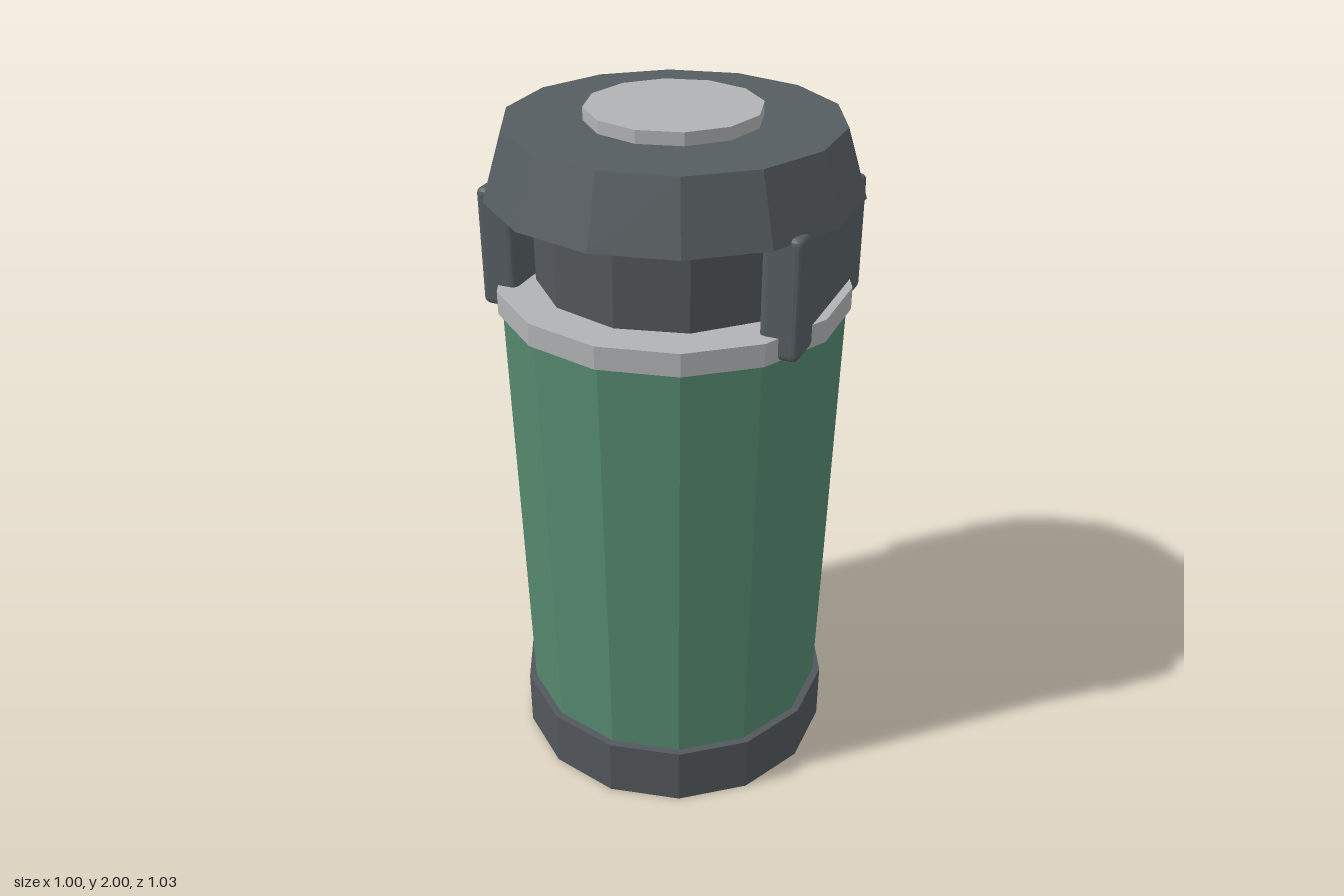
import * as THREE from 'three';
import { RoundedBoxGeometry } from 'three/addons/geometries/RoundedBoxGeometry.js';

function paint(name, color) {
  const m = new THREE.MeshStandardMaterial({ color, flatShading: true });
  m.name = name;
  return m;
}

export function createModel() {
  const group = new THREE.Group();
  group.name = 'litterBin';

  const green = paint('green', 0x55896f);
  const slate = paint('slateGrey', 0x565d61);
  const charcoal = paint('charcoal', 0x53575b);
  const metal = paint('lightMetal', 0xb0b2b4);

  const add = (name, geometry, material, x, y, z) => {
    const mesh = new THREE.Mesh(geometry, material);
    mesh.name = name;
    mesh.position.set(x, y, z);
    group.add(mesh);
  };

  // Faceted drum between two heights
  const drum = (name, rBottom, rTop, y0, y1, sides, material) =>
    add(name, new THREE.CylinderGeometry(rTop, rBottom, y1 - y0, sides), material, 0, (y0 + y1) / 2, 0);

  drum('base', 0.477, 0.477, 0, 0.18, 14, charcoal);
  drum('body', 0.455, 0.48, 0.18, 1.46, 14, green);
  drum('rimBand', 0.493, 0.493, 1.46, 1.525, 14, metal);
  drum('neck', 0.381, 0.381, 1.525, 1.77, 12, charcoal);
  drum('lid', 0.513, 0.455, 1.78, 1.965, 14, slate);
  drum('lidCap', 0.238, 0.238, 1.965, 2, 12, metal);

  // Side brackets holding the lid above the rim
  for (const side of [1, -1]) {
    add(side > 0 ? 'leftBracket' : 'rightBracket',
      new RoundedBoxGeometry(0.107, 0.335, 0.534, 2, 0.018), slate, side * 0.4035, 1.6275, 0);
  }

  // Small lock plate on the back
  add('lockPlate', new THREE.BoxGeometry(0.09, 0.14, 0.03), metal, 0, 1.24, -0.476);

  return group;
}
